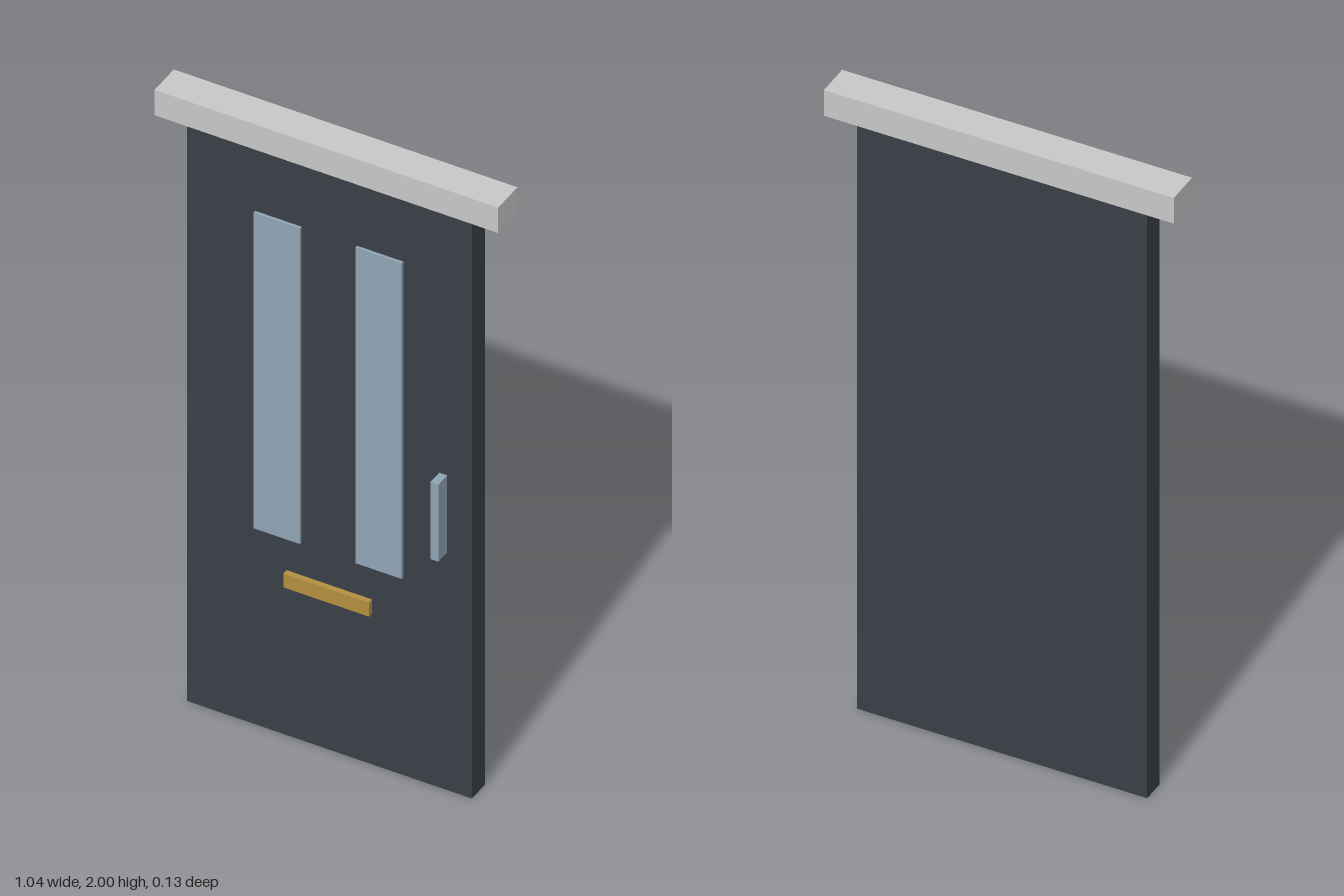
import * as THREE from 'three';

const material = (name, color) => {
  const m = new THREE.MeshStandardMaterial({ color });
  m.name = name;
  return m;
};

export function createModel() {
  const door = new THREE.Group();
  door.name = 'frontDoor';

  const charcoal = material('charcoal paint', 0x3a4047);
  const stone = material('pale stone', 0xc8c8c8);
  const blueGrey = material('blue grey glass and metal', 0x90a4b4);
  const brass = material('brass', 0xb39040);

  // Box given by its lower and upper limits on each axis
  const addBox = (name, mat, [x0, x1], [y0, y1], [z0, z1]) => {
    const mesh = new THREE.Mesh(new THREE.BoxGeometry(x1 - x0, y1 - y0, z1 - z0), mat);
    mesh.position.set((x0 + x1) / 2, (y0 + y1) / 2, (z0 + z1) / 2);
    mesh.name = name;
    door.add(mesh);
  };

  const face = 0.02; // front plane of the door leaf

  // Leaf and the lintel above it
  addBox('doorLeaf', charcoal, [-0.433, 0.433], [0, 1.916], [-0.049, face]);
  addBox('lintel', stone, [-0.522, 0.522], [1.916, 2], [-0.067, 0.036]);

  // Two tall glazed panels
  addBox('leftWindow', blueGrey, [0.084, 0.225], [0.655, 1.7], [face, 0.029]);
  addBox('rightWindow', blueGrey, [-0.225, -0.084], [0.655, 1.7], [face, 0.029]);

  // Pull handle and letter plate
  addBox('handle', blueGrey, [0.334, 0.358], [0.787, 1.042], [face, 0.067]);
  addBox('letterPlate', brass, [-0.13, 0.13], [0.5, 0.546], [face, 0.037]);

  return door;
}
